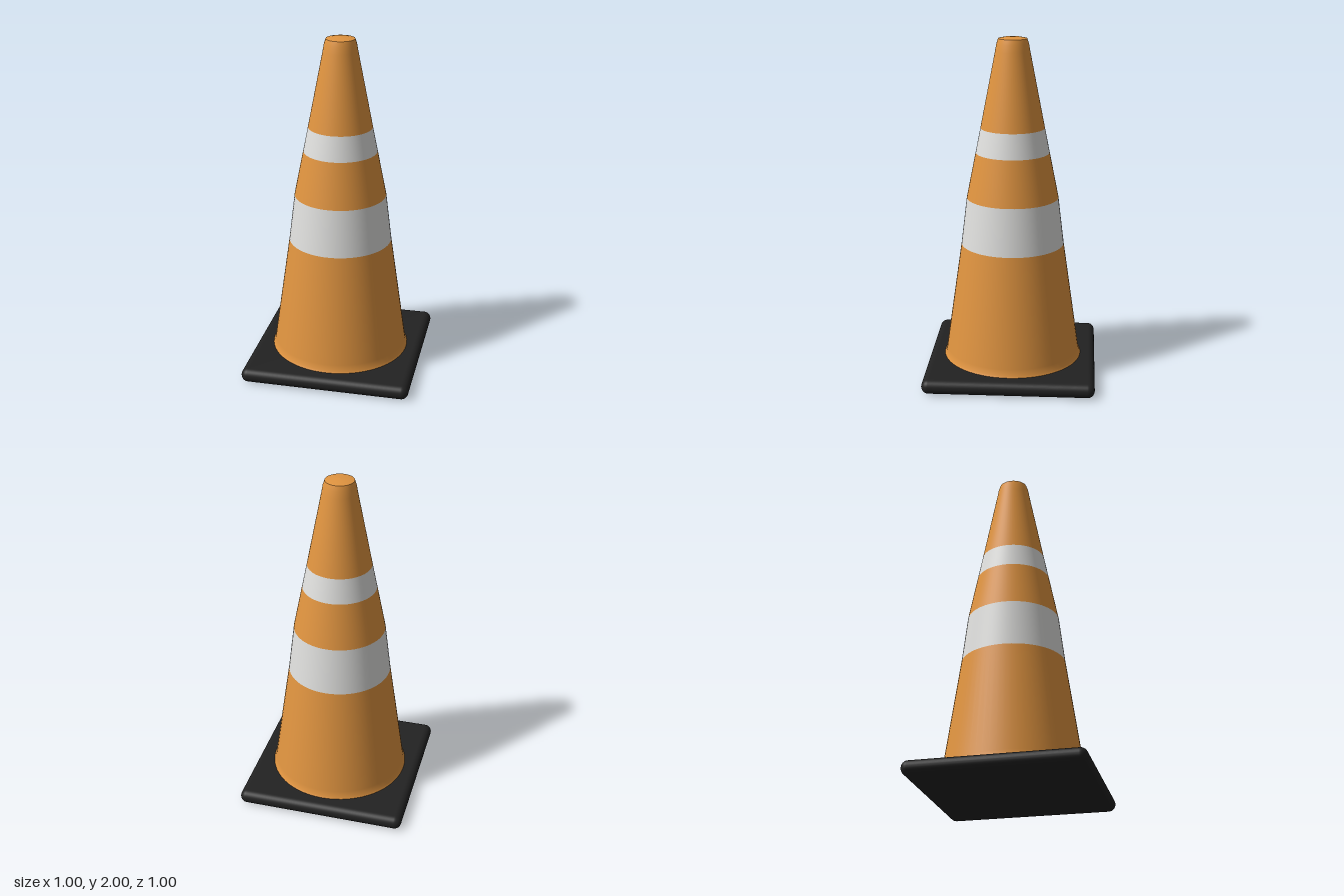
import * as THREE from 'three';
import { RoundedBoxGeometry } from 'three/addons/geometries/RoundedBoxGeometry.js';

export function createModel() {
  const model = new THREE.Group();
  model.name = 'trafficCone';

  const material = (name, color) => {
    const m = new THREE.MeshStandardMaterial({ color });
    m.name = name;
    return m;
  };
  const orange = material('orange', 0xe09440);
  const white = material('white', 0xe0e0de);
  const black = material('black', 0x222222);

  const add = (name, geometry, mat) => {
    const mesh = new THREE.Mesh(geometry, mat);
    mesh.name = name;
    model.add(mesh);
    return mesh;
  };
  // Ring of the cone surface, profile given as [radius, height] from bottom to top
  const ring = (name, mat, profile) =>
    add(name, new THREE.LatheGeometry(profile.map(([r, y]) => new THREE.Vector2(r, y)), 64), mat);

  // Square rubber base with rounded edges
  add('base', new RoundedBoxGeometry(1, 0.084, 1, 4, 0.041), black).position.y = 0.042;

  // Cone body, alternating with the reflective bands
  ring('lowerBody', orange, [[0.415, 0.08], [0.405, 0.095], [0.398, 0.13], [0.304, 0.78]]);
  ring('wideBand', white, [[0.304, 0.78], [0.27, 1.06]]);
  ring('middleBody', orange, [[0.27, 1.06], [0.216, 1.33]]);
  ring('narrowBand', white, [[0.216, 1.33], [0.187, 1.475]]);
  ring('upperBody', orange, [[0.187, 1.475], [0.1, 1.92], [0.093, 1.96], [0.083, 1.99]]);

  // Slightly domed tip
  ring('tip', orange, [[0.083, 1.99], [0.05, 1.997], [0, 2]]);

  return model;
}
